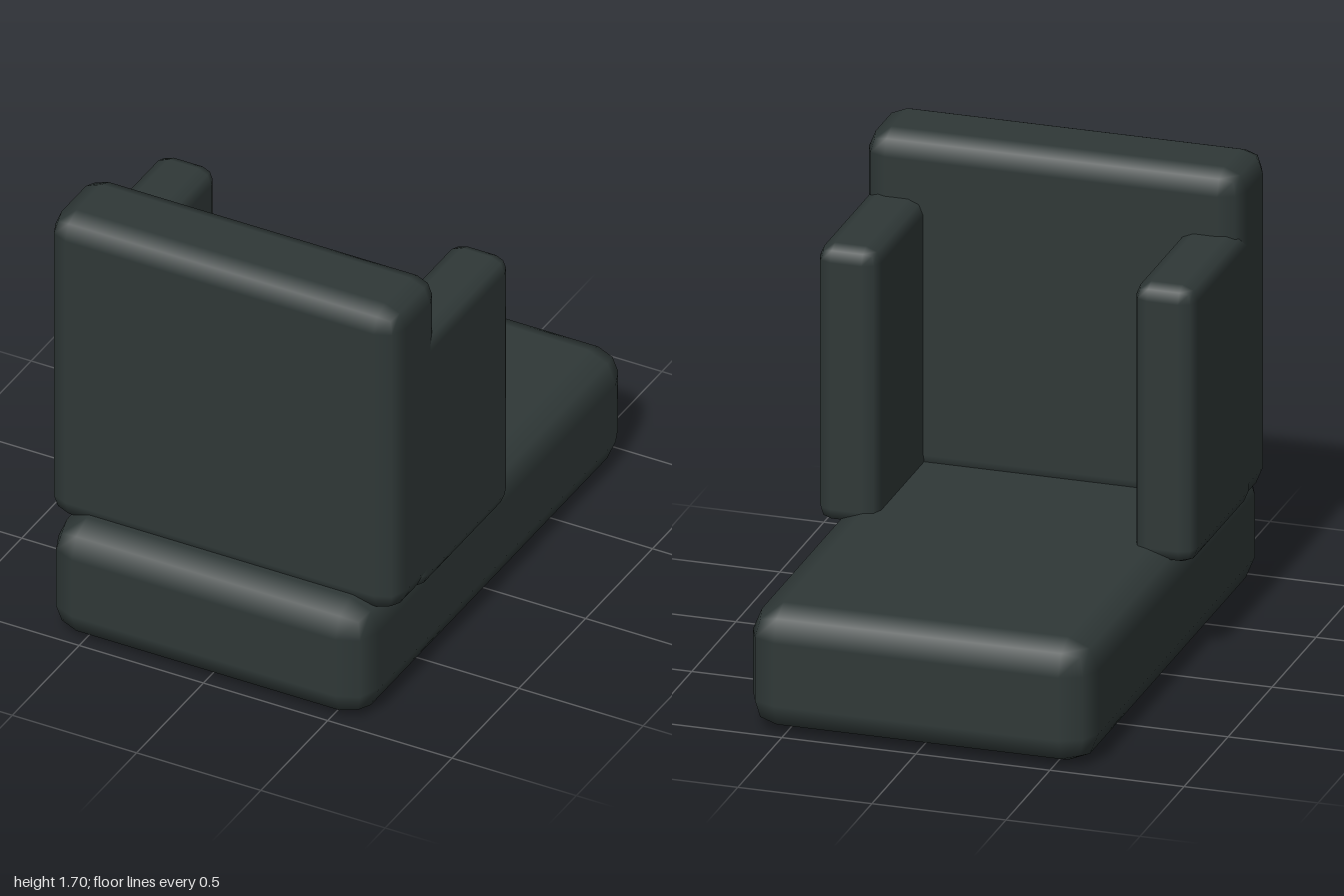
import * as THREE from 'three';
import { RoundedBoxGeometry } from 'three/addons/geometries/RoundedBoxGeometry.js';

export function createModel() {
  const chair = new THREE.Group();
  chair.name = 'armchair';
  const fabric = new THREE.MeshStandardMaterial({ color: 0x2f3837 });
  fabric.name = 'dark fabric';

  // Padded block given by its min and max corners, with two-step rounded edges
  function cushion(name, min, max, radius) {
    const [w, h, d] = max.map((v, i) => v - min[i]);
    const mesh = new THREE.Mesh(new RoundedBoxGeometry(w, h, d, 1, radius), fabric);
    mesh.position.set(...max.map((v, i) => (v + min[i]) / 2));
    mesh.name = name;
    chair.add(mesh);
  }

  cushion('seat', [-0.645, 0, -1], [0.645, 0.47, 1], 0.115);
  cushion('backrest', [-0.705, 0.415, 0.53], [0.705, 1.705, 0.88], 0.085);

  // Armrests, running into the backrest
  cushion('leftArmrest', [0.475, 0.415, 0], [0.705, 1.47, 0.69], 0.057);
  cushion('rightArmrest', [-0.705, 0.415, 0], [-0.475, 1.47, 0.69], 0.057);

  return chair;
}
